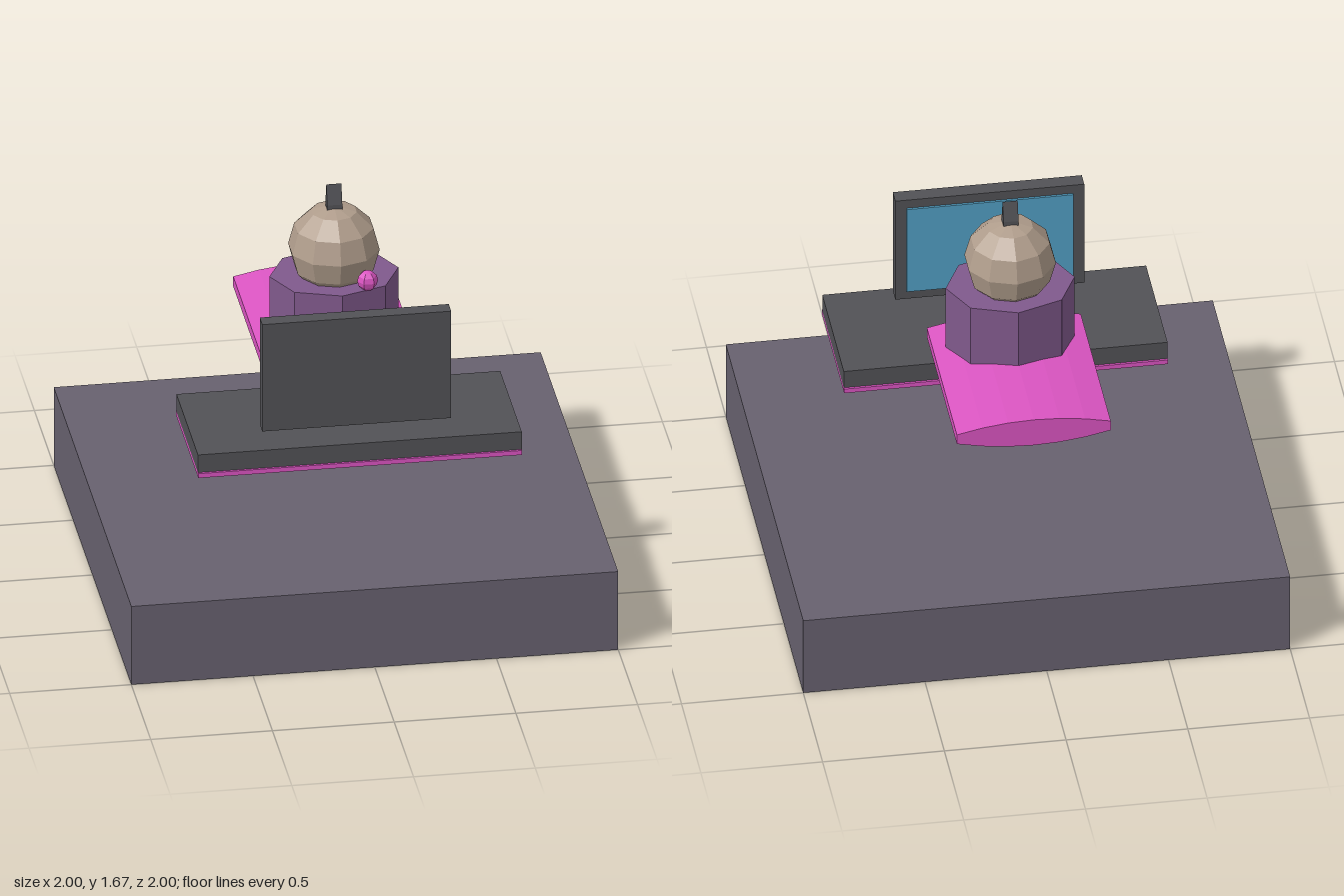
import * as THREE from 'three';

const COLORS = {
  stone: 0x67616f, dark: 0x525256, pink: 0xdb55c2,
  purple: 0x80598c, skin: 0xb09d8c, blue: 0x529fc4,
};

export function createModel() {
  const model = new THREE.Group();
  model.name = 'deskWorker';

  const add = (name, geometry, color, x, y, z) => {
    const material = new THREE.MeshStandardMaterial({ color: COLORS[color], flatShading: true });
    const mesh = new THREE.Mesh(geometry, material);
    mesh.name = name;
    mesh.position.set(x, y, z);
    model.add(mesh);
    return mesh;
  };

  // Box given by its width and its y and z ranges, centred on x
  const slab = (name, color, width, y0, y1, z0, z1) =>
    add(name, new THREE.BoxGeometry(width, y1 - y0, z1 - z0), color, 0, (y0 + y1) / 2, (z0 + z1) / 2);

  // Floor block, floating desk and its glowing underside
  slab('base', 'stone', 2, 0, 0.355, -1, 1);
  slab('deskTop', 'dark', 1.33, 0.745, 0.825, 0.06, 0.615);
  slab('deskUnderside', 'pink', 1.33, 0.725, 0.745, 0.05, 0.625);

  // Monitor with the screen facing the figure
  slab('monitor', 'dark', 0.776, 0.87, 1.355, 0.47, 0.535);
  slab('screen', 'blue', 0.684, 0.91, 1.315, 0.46, 0.47);

  // Figure: eight-sided oval torso and faceted head
  const axisZ = -0.055;
  const torso = new THREE.CylinderGeometry(0.265, 0.265, 0.49, 8);
  torso.scale(1, 1, 0.22 / 0.265);
  add('torso', torso, 'purple', 0, 1.025, axisZ);
  const head = new THREE.SphereGeometry(0.188, 10, 6);
  head.rotateY(Math.PI / 2);
  add('head', head, 'skin', 0, 1.387, axisZ);

  // Ridged crest, its profile drawn in z and y and extruded along x
  const crestShape = new THREE.Shape([
    [-0.025, 1.53], [0.025, 1.53], [0.023, 1.585], [0, 1.67], [-0.023, 1.585],
  ].map(([z, y]) => new THREE.Vector2(z, y)));
  const crest = new THREE.ExtrudeGeometry(crestShape, { depth: 0.062, bevelEnabled: false });
  crest.translate(0, 0, -0.031).rotateY(Math.PI / 2);
  add('crest', crest, 'dark', 0, 0, axisZ);

  // Small bead on the chest
  add('bead', new THREE.SphereGeometry(0.043, 6, 6), 'pink', 0.112, 1.306, 0.112);

  // Lens-shaped cape reaching back through the torso
  const w = 0.316;
  const lens = new THREE.Shape();
  lens.moveTo(-w, 0.925);
  lens.quadraticCurveTo(0, 0.845, w, 0.925);
  lens.lineTo(w, 0.97);
  lens.quadraticCurveTo(0, 1.05, -w, 0.97);
  lens.closePath();
  const cape = new THREE.ExtrudeGeometry(lens, { depth: 0.775, bevelEnabled: false, curveSegments: 6 });
  add('cape', cape, 'pink', 0, 0, -0.667);

  return model;
}
